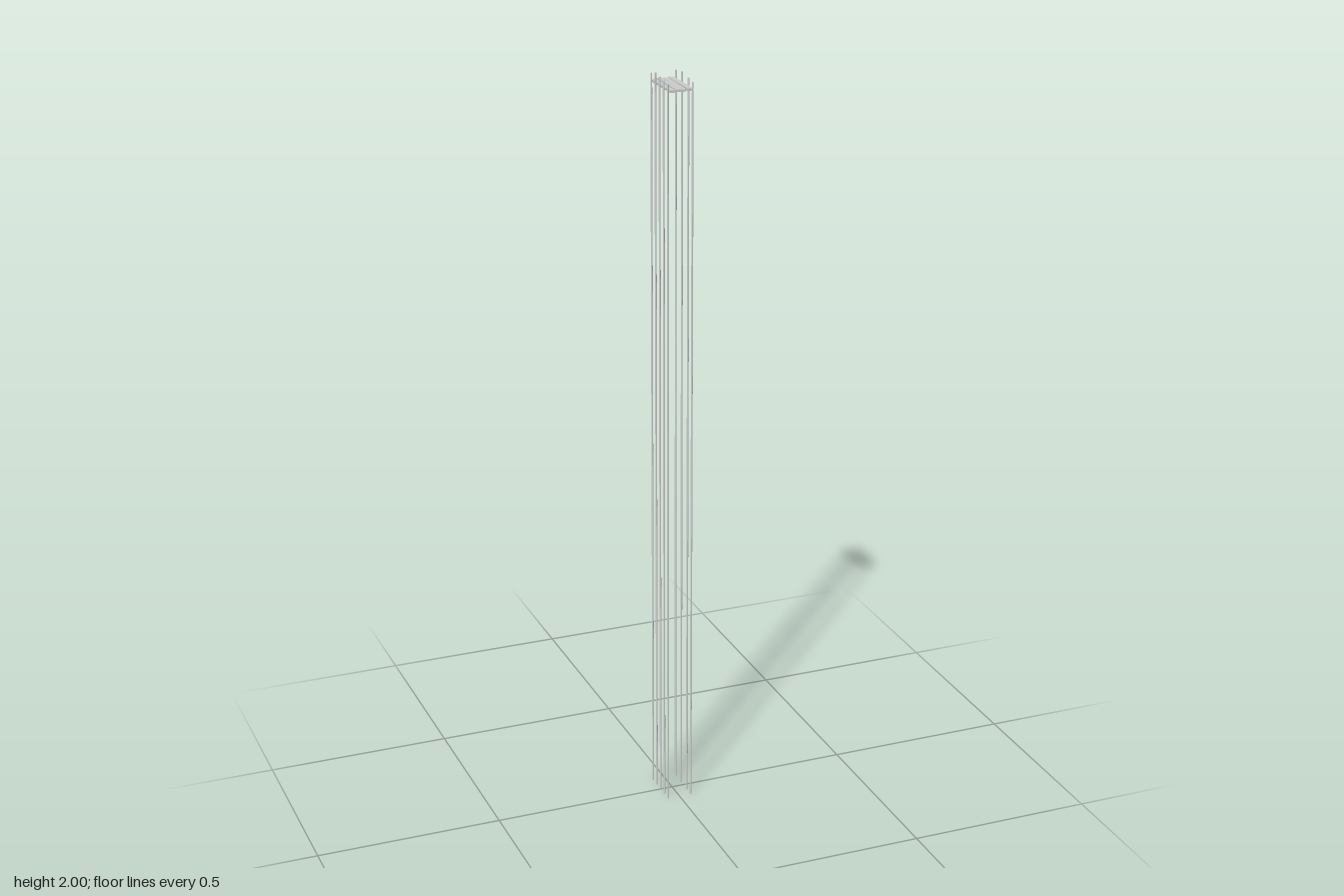
import * as THREE from 'three';

export function createModel() {
  const model = new THREE.Group();
  const material = new THREE.MeshStandardMaterial({ color: 0xcccccc, flatShading: true });

  // Slender posts along both long edges: [z, top height]
  const postRadius = 0.0026;
  const addPosts = (name, x, posts) => {
    for (const [z, top] of posts) {
      const post = new THREE.Mesh(new THREE.CylinderGeometry(postRadius, postRadius, top, 8), material);
      post.name = name;
      post.position.set(x, top / 2, z);
      model.add(post);
    }
  };
  addPosts('rightPost', -0.033, [[-0.057, 1.993], [-0.029, 2], [-0.001, 1.996], [0.027, 1.993], [0.055, 1.99]]);
  addPosts('leftPost', 0.033, [[-0.057, 1.995], [-0.015, 2], [0.027, 1.994], [0.055, 1.99]]);

  // Deck planks, laid slightly unevenly: [x, y, yaw, width, length]
  const planks = [
    [-0.0235, 1.972, 0.004, 0.0135, 0.131],
    [-0.0078, 1.973, 0.002, 0.0135, 0.131],
    [0.0072, 1.972, -0.02, 0.0135, 0.130],
    [0.0235, 1.973, 0.005, 0.0145, 0.132],
  ];
  for (const [x, y, yaw, width, length] of planks) {
    const plank = new THREE.Mesh(new THREE.BoxGeometry(width, 0.006, length), material);
    plank.name = 'deckPlank';
    plank.position.set(x, y, -0.002);
    plank.rotation.y = yaw;
    model.add(plank);
  }

  return model;
}
